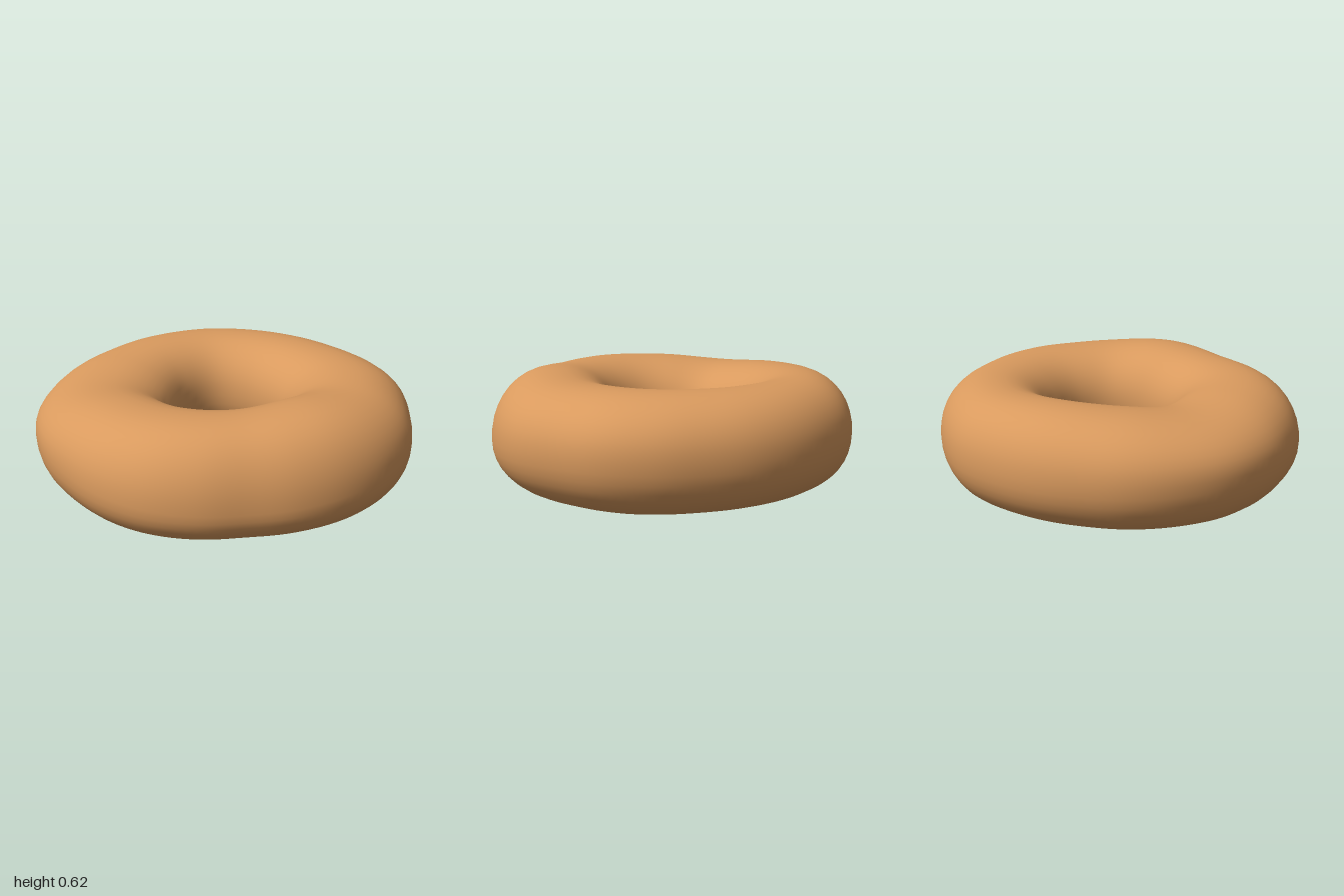
import * as THREE from 'three';

// Smooth periodic sampler through evenly spaced values around the ring
function ringCurve(values) {
  const n = values.length;
  return (t) => {
    const f = t * n, i = Math.floor(f), u = f - i;
    const [a, b, c, d] = [-1, 0, 1, 2].map((k) => values[(i + k + n) % n]);
    return b + 0.5 * u * (c - a + u * (2 * a - 5 * b + 4 * c - d + u * (3 * (b - c) + d - a)));
  };
}

// Values run from +x round through +z (front), -x and -z
const outerRadius = ringCurve([
  0.998, 1.0, 1.02, 1.012, 0.987, 0.955, 0.93, 0.957, 0.983, 0.99, 0.987, 0.998,
  1.0, 0.98, 0.957, 0.927, 0.918, 0.92, 0.933, 0.925, 0.924, 0.928, 0.938, 0.97,
]);
const innerRadius = ringCurve([0.322, 0.33, 0.33, 0.325, 0.317, 0.295, 0.283, 0.287, 0.32, 0.345, 0.33, 0.314]);
const topHeight = ringCurve([0.594, 0.598, 0.622, 0.599, 0.594, 0.58, 0.555, 0.578, 0.594, 0.594, 0.594, 0.592]);
const bottomHeight = ringCurve([0.004, 0.002, 0, 0, 0, 0.002, 0.004, 0.008, 0.012, 0.014, 0.012, 0.008]);
const widestHeight = ringCurve([0.32, 0.3, 0.26, 0.23, 0.25, 0.29, 0.32, 0.31, 0.3, 0.3, 0.3, 0.31]);

// Ring of slightly squared oval cross-sections, lumpy like hand-shaped dough
function doughGeometry(around = 120, section = 40) {
  const positions = [], indices = [];
  const squared = (v) => Math.sign(v) * Math.abs(v) ** 0.92;
  for (let i = 0; i < around; i++) {
    const t = i / around, theta = t * Math.PI * 2;
    const outer = outerRadius(t), inner = innerRadius(t);
    const top = topHeight(t), bottom = bottomHeight(t), mid = widestHeight(t);
    for (let j = 0; j < section; j++) {
      const phi = (j / section) * Math.PI * 2;
      const c = squared(Math.cos(phi)), s = squared(Math.sin(phi));
      const r = (outer + inner) / 2 + ((outer - inner) / 2) * c;
      // The outer side bulges at its own height, the hole is narrowest halfway up
      const centre = (top + bottom) / 2;
      const level = centre + (mid - centre) * Math.max(0, c);
      const y = level + s * (s > 0 ? top - level : level - bottom);
      positions.push(r * Math.cos(theta), y, r * Math.sin(theta));
      const i2 = (i + 1) % around, j2 = (j + 1) % section;
      const a = i * section + j, b = i * section + j2;
      const d = i2 * section + j, e = i2 * section + j2;
      indices.push(a, b, d, b, e, d);
    }
  }
  const geometry = new THREE.BufferGeometry();
  geometry.setAttribute('position', new THREE.Float32BufferAttribute(positions, 3));
  geometry.setIndex(indices);
  geometry.computeVertexNormals();
  return geometry;
}

export function createModel() {
  const group = new THREE.Group();
  group.name = 'doughnut';
  const dough = new THREE.Mesh(doughGeometry(), new THREE.MeshStandardMaterial({ color: 0xd99a5e }));
  dough.name = 'doughRing';
  group.add(dough);
  return group;
}
